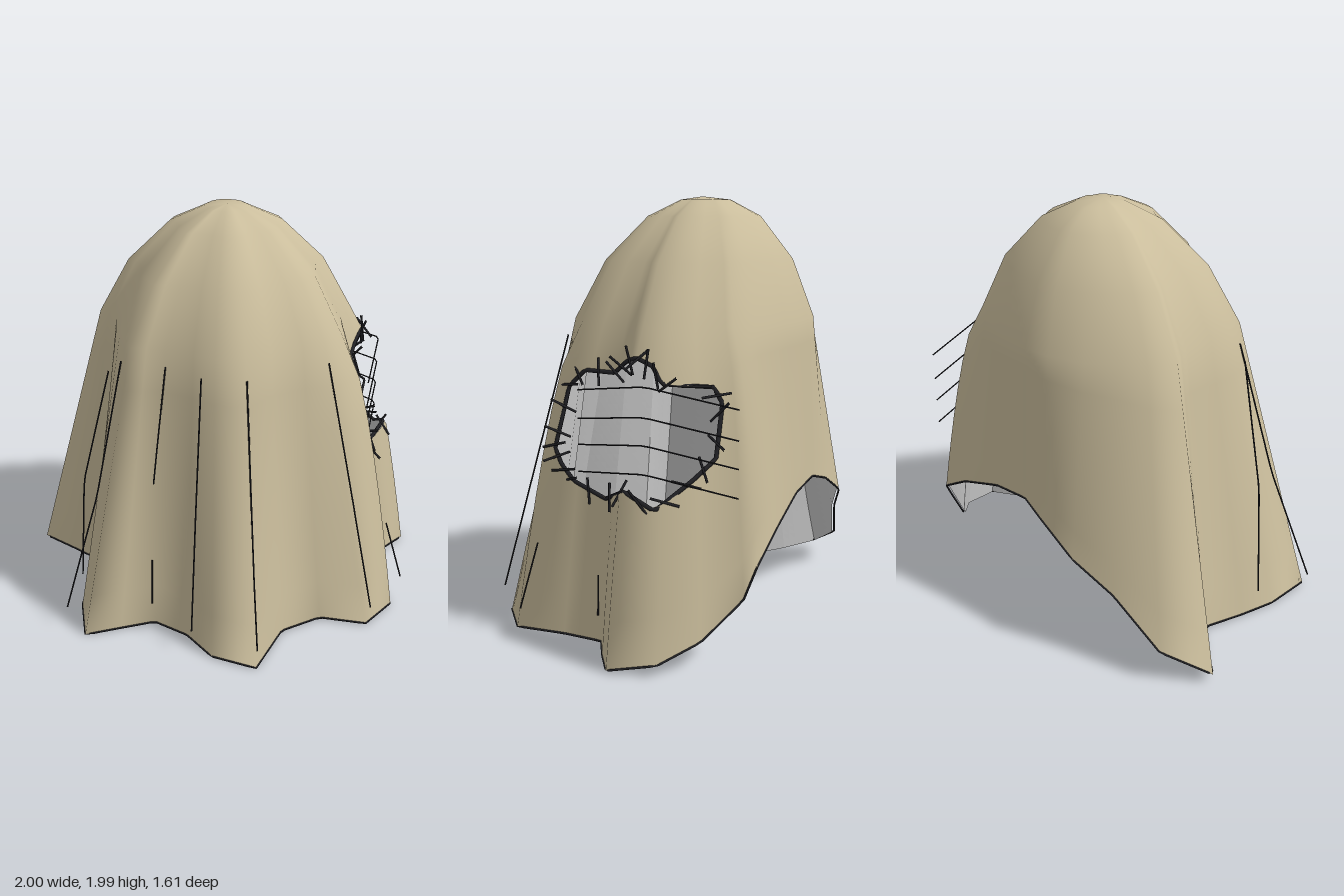
import * as THREE from 'three';

const V = (x, y, z) => new THREE.Vector3(x, y, z);
const CENTRE_Z = -0.22, SHOULDER = 1.44, SUB = 5;

// Hem of the cloth [x, y, z], from the front round by the left; it lifts at the back
const HEM = [
  [0, 0.015, 0.77], [0.17, 0.02, 0.51], [0.38, 0.02, 0.43], [0.6, 0.02, 0.51], [0.77, 0.02, 0.36],
  [0.74, 0.02, 0.12], [0.73, 0.015, -0.07], [0.86, 0.015, -0.15], [1, 0.02, -0.25], [0.94, 0.06, -0.46],
  [0.78, 0.13, -0.59], [0.6, 0.28, -0.71], [0.62, 0.45, -0.78], [0.42, 0.57, -0.79], [0.16, 0.66, -0.78],
  [-0.06, 0.69, -0.78], [-0.2, 0.65, -0.8], [-0.42, 0.54, -0.8], [-0.6, 0.4, -0.72], [-0.83, 0.18, -0.65],
  [-1, 0.06, -0.48], [-0.84, 0.04, -0.35], [-0.72, 0.03, -0.24], [-0.77, 0.02, -0.03], [-0.81, 0.02, 0.15],
  [-0.8, 0.015, 0.4], [-0.62, 0.015, 0.37], [-0.45, 0.02, 0.35], [-0.3, 0.02, 0.48], [-0.2, 0.02, 0.66],
];
// Crown profile [share of shoulder radius, y]
const CROWN = [[0, 2], [0.17, 1.985], [0.43, 1.91], [0.76, 1.71], [1, SHOULDER]];
const SKIRT_ROWS = 7, FOLD_DEPTH = 0.4;

// Torn hole in the left side [z, y]
const HOLE = [
  [0.21, 0.87], [0.19, 0.98], [0.16, 1.15], [0.08, 1.23], [-0.08, 1.23], [-0.16, 1.29], [-0.24, 1.32],
  [-0.32, 1.29], [-0.37, 1.22], [-0.55, 1.2], [-0.585, 1.13], [-0.585, 0.9], [-0.52, 0.82], [-0.4, 0.7],
  [-0.26, 0.77], [-0.07, 0.67], [0.1, 0.73], [0.17, 0.8],
];

function inHole(z, y) {
  let inside = false;
  HOLE.forEach(([z1, y1], i) => {
    const [z2, y2] = HOLE[(i + 1) % HOLE.length];
    if ((y1 > y) !== (y2 > y) && z < z1 + (z2 - z1) * (y - y1) / (y2 - y1)) inside = !inside;
  });
  return inside;
}

function nearestOnHole(z, y) {
  const p = V(0, y, z);
  let best = null;
  HOLE.forEach(([z1, y1], i) => {
    const [z2, y2] = HOLE[(i + 1) % HOLE.length];
    const q = new THREE.Line3(V(0, y1, z1), V(0, y2, z2)).closestPointToPoint(p, true, V(0, 0, 0));
    if (!best || q.distanceTo(p) < best.distanceTo(p)) best = q;
  });
  return best;
}

// Triangles of a grid that closes on itself across the columns
function gridIndex(rows, cols, keep = () => true) {
  const index = [];
  for (let r = 0; r < rows - 1; r++) for (let c = 0; c < cols; c++) {
    const n = (c + 1) % cols;
    const a = r * cols + c, b = r * cols + n, d = a + cols, e = b + cols;
    for (const tri of [[a, d, b], [b, d, e]]) if (keep(tri)) index.push(...tri);
  }
  return index;
}

function makeGeometry(points, normals, index) {
  const g = new THREE.BufferGeometry().setFromPoints(points);
  if (normals) g.setAttribute('normal', new THREE.Float32BufferAttribute(normals.flatMap(n => n.toArray()), 3));
  g.setIndex(index);
  return g;
}

// Cloth: fluted crown running into the folded hem, then refined so the hole can be cut
function drape() {
  const cols = HEM.length, rows = CROWN.length + SKIRT_ROWS, coarse = [];
  const lerp = THREE.MathUtils.lerp;
  for (let r = 0; r < rows; r++) for (const [hx, hy, hz] of HEM) {
    const a = Math.atan2(hx, hz - CENTRE_Z), back = Math.cos(a) < 0;
    // Folds of the hem carry on, shallower, up to the apex
    const plain = Math.hypot(0.88 * Math.sin(a), (back ? 0.57 : 0.85) * Math.cos(a));
    const flute = 1 + FOLD_DEPTH * (Math.hypot(hx, hz - CENTRE_Z) / plain - 1);
    const sx = 0.6 * flute * Math.sin(a), sz = (back ? 0.525 : 0.583) * flute * Math.cos(a);
    if (r < CROWN.length) {
      const [k, y] = CROWN[r];
      coarse.push(V(sx * k, y, CENTRE_Z + sz * (back ? k ** 0.75 : k)));
    } else {
      // The left side swells out sooner than the rest
      const swells = hx > 0.7 || (hx > 0.5 && hz < 0);
      const t = (r - CROWN.length + 1) / SKIRT_ROWS, out = swells ? t ** 0.62 : t;
      coarse.push(V(lerp(sx, hx, out), lerp(SHOULDER, hy, t), lerp(CENTRE_Z + sz, hz, out)));
    }
  }
  const g = makeGeometry(coarse, null, gridIndex(rows, cols));
  g.computeVertexNormals();
  const coarseN = coarse.map((p, i) => i < cols ? V(0, 1, 0) : V(0, 0, 0).fromBufferAttribute(g.attributes.normal, i));

  const fineRows = (rows - 1) * SUB + 1, fineCols = cols * SUB;
  const refine = (src) => {
    const out = [];
    for (let i = 0; i < fineRows; i++) for (let j = 0; j < fineCols; j++) {
      const r = Math.min(Math.floor(i / SUB), rows - 2), c = Math.floor(j / SUB), n = (c + 1) % cols;
      const v = i / SUB - r, u = j / SUB - c;
      const top = src[r * cols + c].clone().lerp(src[r * cols + n], u);
      out.push(top.lerp(src[(r + 1) * cols + c].clone().lerp(src[(r + 1) * cols + n], u), v));
    }
    return out;
  };
  const points = refine(coarse), normals = refine(coarseN).map(n => n.normalize());

  // Height of the left side above the z-y plane
  const side = points.filter(p => p.x > 0.3 && p.y > 0.4 && p.y < 1.6).map(p => p.clone());
  const sideX = (z, y) => {
    let sum = 0, total = 0;
    for (const p of side) {
      const w = 1 / (((p.z - z) ** 2 + (p.y - y) ** 2) ** 2 + 1e-9);
      sum += w * p.x;
      total += w;
    }
    return sum / total;
  };

  const inside = points.map(p => p.x > 0.3 && inHole(p.z, p.y));
  const index = gridIndex(fineRows, fineCols, tri => !tri.every(i => inside[i]));
  points.forEach((p, i) => {
    if (!inside[i]) return;
    const q = nearestOnHole(p.z, p.y);
    p.set(sideX(q.z, q.y), q.y, q.z);
  });
  return { points, normals, index, sideX };
}

export function createModel() {
  const model = new THREE.Group();
  const cloth = new THREE.MeshStandardMaterial({ color: 0xcabd9c });
  const lining = new THREE.MeshStandardMaterial({ color: 0xcccccc, flatShading: true });
  const dark = new THREE.MeshStandardMaterial({ color: 0x222226 });
  const add = (name, geometry, material, parent = model) => {
    const mesh = new THREE.Mesh(geometry, material);
    mesh.name = name;
    parent.add(mesh);
  };
  const group = (name) => {
    const g = new THREE.Group();
    g.name = name;
    model.add(g);
    return g;
  };
  // Straight-sided cord through points
  const cord = (pts, radius, closed = false) => {
    const path = new THREE.CurvePath();
    const all = closed ? [...pts, pts[0]] : pts;
    for (let i = 1; i < all.length; i++) path.add(new THREE.LineCurve3(all[i - 1], all[i]));
    return new THREE.TubeGeometry(path, pts.length * 6, radius, 5, closed);
  };

  const { points, normals, index, sideX } = drape();
  add('clothOuter', makeGeometry(points, normals, index), cloth);

  // Inner face, set back by the cloth thickness and turned inward
  const inner = points.map((p, i) => p.clone().addScaledVector(normals[i], -0.012));
  const flipped = [];
  for (let i = 0; i < index.length; i += 3) flipped.push(index[i], index[i + 2], index[i + 1]);
  add('clothLining', makeGeometry(inner, normals.map(n => n.clone().negate()), flipped), lining);

  // Dark edges of hem and hole
  add('hemEdge', cord(HEM.map(p => V(...p)), 0.005, true), dark);
  const rim = HOLE.map(([z, y]) => V(sideX(z, y), y, z));
  add('holeEdge', cord(rim, 0.01, true), dark);

  // Frayed threads crossing the hole edge
  const fray = group('frayedThreads');
  rim.forEach((p, i) => {
    const next = rim[(i + 1) % rim.length];
    (i % 2 ? [0.5] : [0.15, 0.7]).forEach((t, k) => {
      const at = p.clone().lerp(next, t);
      const angle = Math.atan2(at.y - 1, at.z + 0.19) + 0.6 * Math.sin(i * 2.4 + k * 1.7);
      const dir = V(0.6 * Math.sin(i * 1.9 + k), Math.sin(angle), Math.cos(angle)).setLength(0.065);
      at.x += 0.015;
      add('thread', cord([at.clone().sub(dir), at.clone().add(dir)], 0.006), dark, fray);
    });
  });

  // Loose strands stretched over the hole
  const strands = group('looseStrands');
  for (const y of [1.22, 1.09, 0.97, 0.845]) {
    add('strand', cord([V(0.66, y - 0.07, 0.08), V(0.82, y, -0.34), V(0.72, y - 0.08, -0.73)], 0.0035), dark, strands);
  }

  // Thin dark crease lines down the folds
  const creases = group('creaseLines');
  [
    [[0, 1.36, 0.43], [0, 0.44, 0.69], [0, 0.14, 0.8]],
    [[-0.2, 1.36, 0.37], [-0.25, 0.7, 0.5], [-0.29, 0.14, 0.61]],
    [[-0.35, 1.36, 0.22], [-0.41, 0.95, 0.3], [-0.43, 0.8, 0.32]],
    [[0.41, 1.36, 0.28], [0.52, 0.7, 0.42], [0.61, 0.14, 0.54]],
    [[-0.55, 1.36, 0.12], [-0.7, 0.7, 0.22], [-0.88, 0.14, 0.33]],
    [[-0.61, 1.3, 0.09], [-0.76, 0.7, 0.06], [-0.8, 0.14, 0.05]],
    [[-0.45, 0.38, 0.33], [-0.46, 0.14, 0.36]],
    [[0.75, 0.44, 0.25], [0.83, 0.14, 0.3]],
    [[0.735, 0.33, -0.06], [0.74, 0.14, -0.06]],
  ].forEach(line => add('crease', cord(line.map(p => V(...p)), 0.004), dark, creases));

  return model;
}
